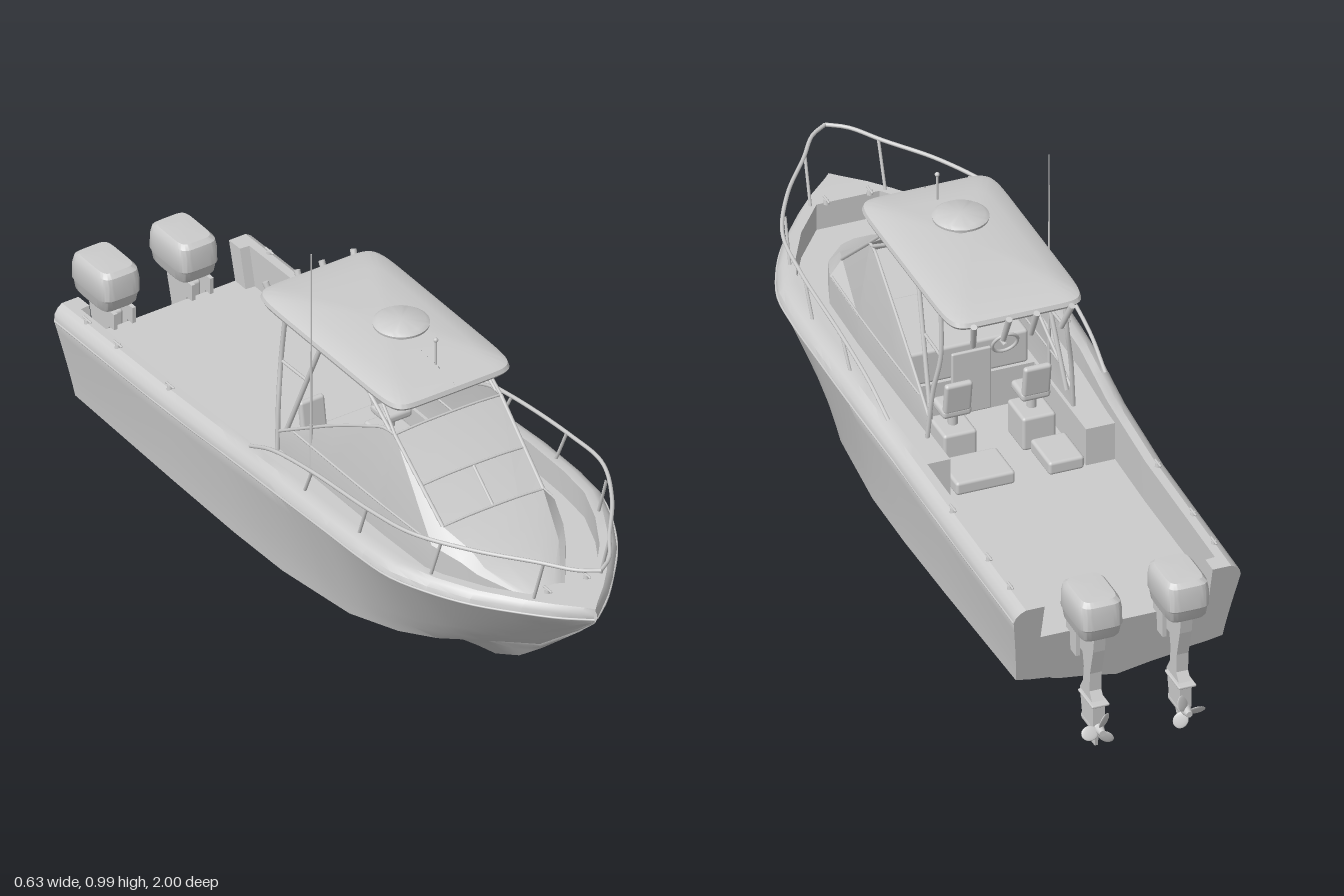
import * as THREE from 'three';
import { toCreasedNormals } from 'three/addons/utils/BufferGeometryUtils.js';
import { RoundedBoxGeometry } from 'three/addons/geometries/RoundedBoxGeometry.js';

const solid = new THREE.MeshStandardMaterial({ color: 0xcccccc });
const thin = new THREE.MeshStandardMaterial({ color: 0xcccccc, side: THREE.DoubleSide });
const V = (x, y, z) => new THREE.Vector3(x, y, z);
const FLOOR = 0.27, DECK = 0.37;

// Hull lines: z, keel y, strake x, strake y, chine x, chine y, half beam, sheer y, gunwale top y
const LINES = [
  [-0.81, 0.09, 0.165, 0.122, 0.262, 0.143, 0.288, 0.335, 0.37],
  [-0.4, 0.055, 0.168, 0.108, 0.267, 0.137, 0.29, 0.345, 0.382],
  [-0.15, 0.038, 0.17, 0.1, 0.268, 0.134, 0.297, 0.365, 0.4],
  [0.05, 0.033, 0.17, 0.1, 0.266, 0.136, 0.31, 0.388, 0.425],
  [0.3, 0.04, 0.152, 0.115, 0.245, 0.146, 0.315, 0.405, 0.437],
  [0.45, 0.058, 0.122, 0.136, 0.208, 0.166, 0.312, 0.408, 0.44],
  [0.55, 0.08, 0.088, 0.156, 0.165, 0.185, 0.302, 0.409, 0.44],
  [0.65, 0.13, 0.042, 0.182, 0.1, 0.21, 0.265, 0.409, 0.44],
  [0.75, 0.208, 0.006, 0.213, 0.04, 0.24, 0.21, 0.409, 0.44],
  [0.85, 0.293, 0.002, 0.296, 0.014, 0.31, 0.13, 0.409, 0.44],
  [0.92, 0.352, 0.001, 0.354, 0.005, 0.36, 0.065, 0.409, 0.44],
  [0.97, 0.4, 0, 0.401, 0.001, 0.403, 0.004, 0.409, 0.438],
];
// Bow rail: z, half width, height
const RAIL = [[-0.07, 0.275, 0.425], [0.03, 0.28, 0.47], [0.2, 0.283, 0.505], [0.45, 0.283, 0.532],
  [0.6, 0.268, 0.547], [0.75, 0.195, 0.555], [0.88, 0.1, 0.558], [0.96, 0.045, 0.56], [0.992, 0, 0.56]];

// Linear lookup of a whole row at z
function at(table, z) {
  let i = 0;
  while (i < table.length - 2 && z > table[i + 1][0]) i++;
  const a = table[i], b = table[i + 1];
  const t = THREE.MathUtils.clamp((z - a[0]) / (b[0] - a[0]), 0, 1);
  return a.map((v, k) => v + (b[k] - v) * t);
}
const beam = z => at(LINES, z)[6];
const top = z => at(LINES, z)[8];

// Skin over a list of equal-length cross-sections
function loft(rings, crease = 0.5) {
  const n = rings[0].length, idx = [];
  for (let i = 0; i < rings.length - 1; i++) for (let j = 0; j < n - 1; j++) {
    const a = i * n + j, b = a + 1, d = a + n, c = d + 1;
    idx.push(a, b, c, a, c, d);
  }
  const g = new THREE.BufferGeometry().setFromPoints(rings.flat());
  g.setIndex(idx);
  return toCreasedNormals(g, crease);
}

// Lathe whose round plan becomes a rounded rectangle
function squircle(profile, hx, hz, p) {
  const g = new THREE.LatheGeometry(profile.map(q => new THREE.Vector2(...q)), 64);
  const pos = g.attributes.position;
  const bend = v => Math.sign(v) * Math.abs(v) ** p;
  for (let i = 0; i < pos.count; i++) {
    const x = pos.getX(i), z = pos.getZ(i), r = Math.hypot(x, z) || 1e-9;
    pos.setX(i, bend(x / r) * r * hx);
    pos.setZ(i, bend(z / r) * r * hz);
  }
  return toCreasedNormals(g, 0.6);
}

// Plate cut from a side outline of [z, y] points, centred on x
function sidePlate(pts, t) {
  const g = new THREE.ExtrudeGeometry(new THREE.Shape(pts.map(p => new THREE.Vector2(...p))), { depth: t, bevelEnabled: false });
  return g.translate(0, 0, -t / 2).rotateY(-Math.PI / 2);
}

const pipe = (pts, r, seg = 8) => new THREE.TubeGeometry(
  pts.length > 2 ? new THREE.CatmullRomCurve3(pts, false, 'centripetal') : new THREE.LineCurve3(...pts), seg, r, 8);

function section(z) {
  const [, ky, kx, sky, cx, cy, b, sy, ty] = at(LINES, z);
  // keel, stepped strake, then a hollow up to the chine
  const half = [[0, ky], [kx * 0.5, ky + (sky - ky) * 0.55], [kx * 0.93, sky - kx * 0.02], [kx, sky],
    [kx + (cx - kx) * 0.1, sky + (cy - sky) * 0.3], [kx + (cx - kx) * 0.6, sky + (cy - sky) * 0.62], [cx, cy]];
  const flare = 1.2 - 0.38 * THREE.MathUtils.smoothstep(z, 0, 0.7);
  for (let k = 1; k <= 7; k++) half.push([cx + (b - cx) * (k / 7) ** flare, cy + (sy - cy) * k / 7]);
  const inner = Math.max(0, b - (z < -0.77 ? 0.075 : 0.05));
  const floor = z < 0.2 ? FLOOR : z < 0.85 ? DECK : ty;
  half.push([b * 0.985, sy + (ty - sy) * 0.45], [Math.max(inner, b * 0.96 - 0.004), sy + (ty - sy) * 0.8],
    [Math.max(inner, b * 0.93 - 0.008), ty], [inner, ty], [inner, floor], [0, floor]);
  const full = half.concat(half.slice(1, -1).reverse().map(([x, y]) => [-x, y]), [half[0]]);
  // transom leans aft
  const w = THREE.MathUtils.clamp((-0.4 - z) / 0.41, 0, 1);
  return full.map(([x, y]) => V(x, y, z - (y - 0.09) * 0.26 * w));
}

export function createModel() {
  const boat = new THREE.Group();
  const add = (name, geo, x = 0, y = 0, z = 0, parent = boat, mat = solid) => {
    const m = new THREE.Mesh(geo, mat);
    m.name = name;
    m.position.set(x, y, z);
    parent.add(m);
    return m;
  };
  const box = (w, h, d, r = 0.008) => new RoundedBoxGeometry(w, h, d, 2, r);

  // Hull, gunwales and floor in one skin, plus transom
  const zs = [-0.81, -0.771, -0.769, 0.1999, 0.2001, 0.8499, 0.8501, 0.97];
  for (let z = -0.7; z < 0.96; z += 0.05) zs.push(z + 0.0005);
  zs.sort((a, b) => a - b);
  add('hull', loft(zs.map(section)), 0, 0, 0, boat, thin);
  const rim = section(-0.81);
  const transom = new THREE.ShapeGeometry(new THREE.Shape(rim.slice(0, -1).map(p => new THREE.Vector2(p.x, p.y))));
  const tp = transom.attributes.position;
  for (let i = 0; i < tp.count; i++) tp.setZ(i, -0.81 - (tp.getY(i) - 0.09) * 0.26);
  transom.computeVertexNormals();
  add('transom', transom, 0, 0, 0, boat, thin);

  // Side decks around the cockpit opening, closing off the cabin front
  const deck = [[0.172, -0.2], ...[-0.2, -0.1, 0.05, 0.2].map(z => [beam(z) - 0.048, z])];
  const outline = [...deck, ...deck.slice().reverse().map(([x, z]) => [-x, z]), [-0.172, 0.12], [0.172, 0.12]];
  const deckGeo = new THREE.ExtrudeGeometry(new THREE.Shape(outline.map(([x, z]) => new THREE.Vector2(x, -z))), { depth: DECK - FLOOR, bevelEnabled: false });
  add('sideDeck', deckGeo.rotateX(-Math.PI / 2), 0, FLOOR, 0);

  // Cabin trunk and windshield: z, half width at base, half width at top, shoulder y, top y
  const trunk = [[0.35, 0.18, 0.15, 0.445, 0.65], [0.54, 0.174, 0.142, 0.445, 0.492], [0.62, 0.145, 0.115, 0.43, 0.458],
    [0.66, 0.125, 0.105, 0.41, 0.428], [0.76, 0.055, 0.045, 0.375, 0.385]];
  add('cabinFront', loft(trunk.map(([z, w, t, s, y]) => [V(w, DECK, z), V(w, s, z), V(t, y - 0.006, z), V(t * 0.5, y, z),
    V(-t * 0.5, y, z), V(-t, y - 0.006, z), V(-w, s, z), V(-w, DECK, z)]), 0.3), 0, 0, 0, boat, thin);
  add('dashboard', box(0.32, 0.09, 0.25), 0, 0.415, 0.25);
  add('cabinDoor', box(0.1, 0.17, 0.01, 0.004), -0.01, 0.36, 0.115);
  add('steeringWheel', new THREE.TorusGeometry(0.032, 0.004, 8, 24), -0.09, 0.455, 0.1).rotation.x = -0.4;
  add('wheelHub', new THREE.CylinderGeometry(0.006, 0.006, 0.04, 10).rotateX(Math.PI / 2), -0.09, 0.45, 0.115);
  const glassLine = (y, z, x) => pipe([V(-x, y - 0.006, z), V(-x / 2, y, z + 0.002), V(x / 2, y, z + 0.002), V(x, y - 0.006, z)], 0.003, 16);
  add('windshieldTop', glassLine(0.65, 0.351, 0.15));
  add('windshieldBar', glassLine(0.562, 0.455, 0.146));
  add('windshieldSill', glassLine(0.492, 0.54, 0.142));
  add('windshieldPost', pipe([V(0, 0.562, 0.456), V(0, 0.493, 0.539)], 0.004));

  // Parts mirrored left and right
  for (const s of [1, -1]) {
    const side = new THREE.Group();
    side.name = s > 0 ? 'leftSide' : 'rightSide';
    boat.add(side);
    const put = (name, geo, x = 0, y = 0, z = 0, mat = solid) => add(name, geo, s * x, y, z, side, mat);
    const tube = (name, pts, r, seg) => put(name, pipe(pts.map(([x, y, z]) => V(s * x, y, z)), r, seg));

    const wall = [[-0.09, 0.18, 0.42], [0.0, 0.174, 0.475], [0.12, 0.167, 0.547], [0.25, 0.158, 0.615], [0.31, 0.153, 0.642], [0.35, 0.15, 0.644]];
    put('cabinSide', loft(wall.map(([z, x, y]) => [V(s * 0.18, DECK, z), V(s * 0.18, Math.min(y, 0.445), z), V(s * x, y, z)])), 0, 0, 0, thin);
    tube('sideWindowFrame', wall.map(([z, x, y]) => [x, y, z]), 0.004, 24);
    tube('sideWindowSill', [[0.179, 0.45, -0.03], [0.179, 0.45, 0.3], [0.173, 0.45, 0.53]], 0.003, 16);
    tube('windshieldPillar', [[0.15, 0.644, 0.35], [0.142, 0.486, 0.54]], 0.005);

    // Rub rail along the sheer
    tube('rubRail', LINES.map(r => [r[6] - 0.001, r[7], r[0] - (r[0] < -0.8 ? 0.062 : 0)]), 0.003, 60);

    // Bow rail and its stanchions
    tube('bowRail', RAIL.map(([z, x, y]) => [x, y, z]), 0.005, 60);
    for (const z of [0.16, 0.39, 0.63, 0.85]) {
      const r = at(RAIL, z + 0.04);
      tube('stanchion', [[beam(z) - 0.035, top(z) - 0.005, z], [r[1], r[2], z + 0.04]], 0.004);
    }

    // Roof supports
    tube('rearPost', [[0.155, 0.735, -0.1], [0.16, 0.6, -0.112], [0.175, 0.5, -0.1], [0.185, DECK, -0.09]], 0.006, 16);
    tube('diagonalPost', [[0.152, 0.735, 0.05], [0.172, 0.41, -0.08]], 0.006);
    tube('crossBar', [[0.159, 0.6, -0.11], [0.157, 0.6, -0.005]], 0.004);
    tube('frontStrut', [[0.15, 0.645, 0.33], [0.148, 0.735, 0.19]], 0.005);
    tube('frontBrace', [[0.15, 0.645, 0.35], [0.14, 0.735, 0.25]], 0.004);

    // Rod holders on the roof's rear edge
    for (const x of [0.035, 0.118])
      put('rodHolder', new THREE.CylinderGeometry(0.008, 0.007, 0.085, 12), x, 0.704, -0.212).rotation.set(-0.45, 0, x > 0.1 ? -s * 0.15 : 0);

    // Cleats on the gunwale
    for (const z of [-0.78, -0.65, -0.43, 0.85]) {
      const x = z > 0 ? 0.055 : beam(z) - 0.03;
      put('cleatBase', new THREE.CylinderGeometry(0.006, 0.008, 0.012, 10), x, top(z) + 0.003, z);
      put('cleatBar', new THREE.CapsuleGeometry(0.003, 0.03, 4, 8).rotateX(Math.PI / 2), x, top(z) + 0.009, z);
    }

    // Helm seat on its locker
    put('seatLocker', box(0.085, 0.09, 0.1), 0.1, FLOOR + 0.045, -0.04);
    put('seatPost', new THREE.CylinderGeometry(0.012, 0.012, 0.04, 12), 0.1, 0.375, -0.04);
    put('seatCushion', box(0.075, 0.025, 0.075, 0.01), 0.1, 0.405, -0.035);
    put('seatBack', box(0.07, 0.085, 0.018, 0.008), 0.1, 0.45, -0.07).rotation.x = -0.15;
    put('cockpitStep', box(s > 0 ? 0.15 : 0.09, 0.035, 0.12), s > 0 ? 0.085 : 0.12, FLOOR + 0.016, -0.15);

    // Outboard motor
    const motor = new THREE.Group();
    motor.name = 'outboardMotor';
    motor.position.x = s * 0.11;
    boat.add(motor);
    const part = (name, geo, x = 0, y = 0, z = 0) => add(name, geo, x, y, z, motor);
    part('cowl', squircle([[0, 0], [0.82, 0], [0.9, 0.008], [0.95, 0.03], [1, 0.036], [0.99, 0.075], [0.93, 0.095], [0.78, 0.105], [0, 0.108]],
      0.056, 0.079, 0.38), 0, 0.315, -0.921);
    part('leg', sidePlate([[-0.885, 0.32], [-0.975, 0.32], [-0.967, 0.27], [-0.948, 0.2], [-0.945, 0.15], [-0.968, 0.12], [-0.965, 0.06],
      [-0.9, 0.06], [-0.885, 0.13], [-0.905, 0.16], [-0.91, 0.2], [-0.895, 0.27]], 0.03));
    part('waterPlate', box(0.045, 0.007, 0.09, 0.003), 0, 0.125, -0.935);
    part('skeg', sidePlate([[-0.9, 0.055], [-0.96, 0.055], [-0.95, 0], [-0.93, 0]], 0.008));
    part('gearcase', new THREE.CapsuleGeometry(0.016, 0.06, 6, 16).rotateX(Math.PI / 2), 0, 0.055, -0.928);
    part('swivel', box(0.03, 0.07, 0.04), 0, 0.265, -0.888);
    for (const x of [-0.026, 0.026])
      part('clamp', sidePlate([[-0.84, 0.272], [-0.84, 0.315], [-0.9, 0.315], [-0.9, 0.225], [-0.866, 0.225], [-0.862, 0.272]], 0.01), x);
    part('propellerHub', new THREE.CylinderGeometry(0.008, 0.014, 0.03, 14).rotateX(-Math.PI / 2), 0, 0.055, -0.975);
    for (let k = 0; k < 3; k++) {
      const blade = new THREE.SphereGeometry(1, 14, 10).scale(0.018, 0.021, 0.003).rotateY(0.6).translate(0, 0.026, 0);
      part('propellerBlade', blade.rotateZ(-s * (Math.PI / 2 + 0.1 + k * Math.PI * 2 / 3)), 0, 0.055, -0.973);
    }
  }

  // Hard top with a shallow hollow underneath
  add('roof', squircle([[0, 0.02], [0.88, 0.014], [0.92, 0], [0.98, 0], [1, 0.008], [0.985, 0.018], [0.92, 0.025],
    [0.7, 0.034], [0.4, 0.04], [0, 0.042]], 0.173, 0.303, 0.2), 0, 0.724, 0.087);

  // Radar dome, mast light and whip antenna
  add('radarStand', new THREE.CylinderGeometry(0.028, 0.028, 0.035, 24), 0, 0.775, 0.155);
  add('radarDome', toCreasedNormals(new THREE.LatheGeometry([[0, 0], [0.053, 0], [0.067, 0.005], [0.068, 0.011], [0.058, 0.018], [0, 0.02]]
    .map(p => new THREE.Vector2(...p)), 40), 0.7), 0, 0.787, 0.155);
  add('mastLightPole', new THREE.CylinderGeometry(0.003, 0.003, 0.07, 8), 0, 0.79, 0.3);
  add('mastLight', new THREE.SphereGeometry(0.006, 12, 8), 0, 0.826, 0.3);
  add('antennaBase', new THREE.CylinderGeometry(0.004, 0.005, 0.14, 10), -0.177, 0.44, 0.04);
  add('antenna', new THREE.CylinderGeometry(0.0015, 0.003, 0.5, 8), -0.177, 0.74, 0.04);

  return boat;
}
